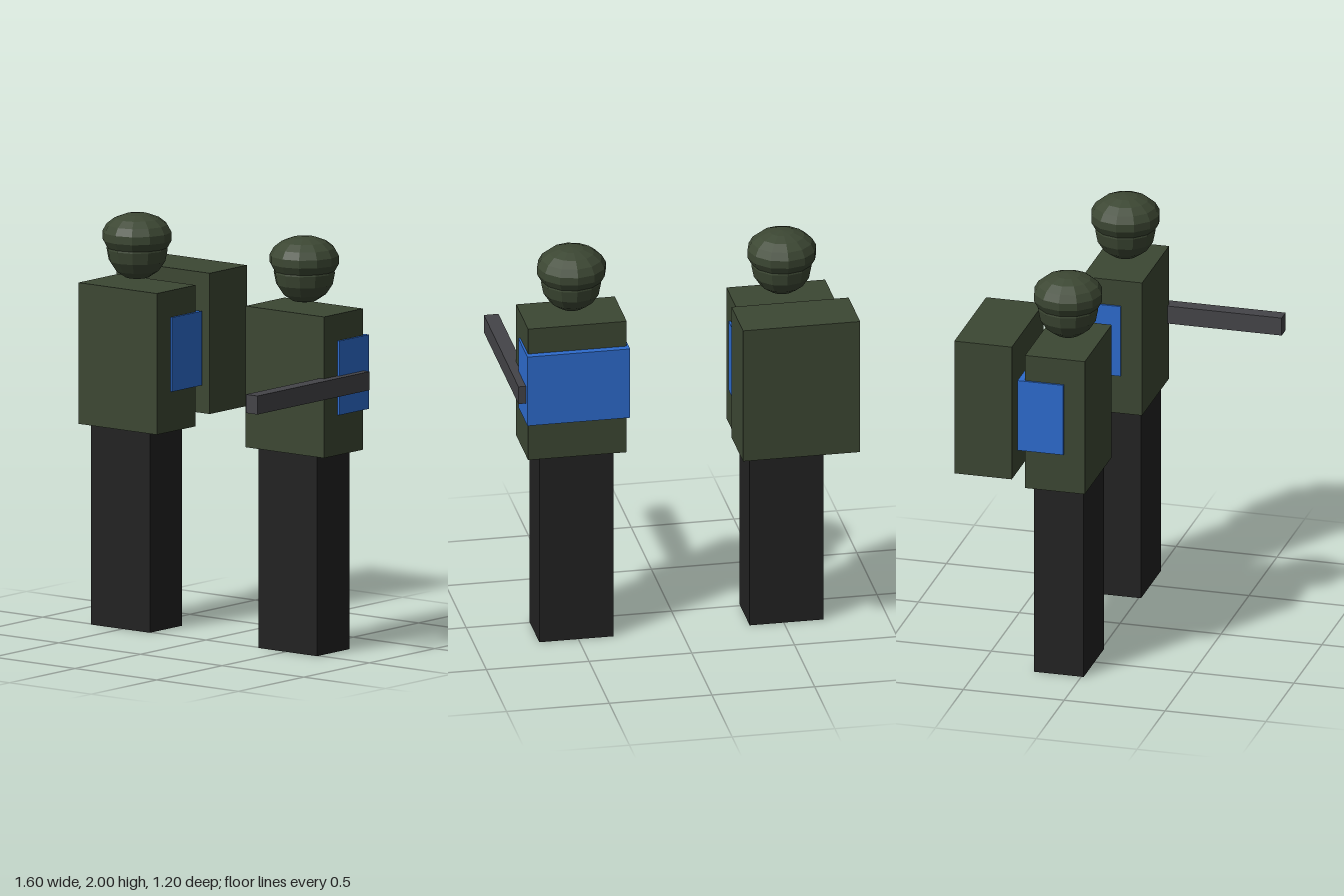
import * as THREE from 'three';

const mat = (name, color) => {
  const m = new THREE.MeshStandardMaterial({ color, flatShading: true });
  m.name = name;
  return m;
};

export function createModel() {
  const green = mat('olive green', 0x3c4733);
  const black = mat('trouser black', 0x222222);
  const blue = mat('vest blue', 0x2d6bcd);
  const grey = mat('gun grey', 0x444448);
  // the helmet is an open shell
  const helmetGreen = mat('helmet green', 0x3c4733);
  helmetGreen.side = THREE.DoubleSide;

  const model = new THREE.Group();
  model.name = 'twoSoldiers';

  // box given by its limits on each axis
  const box = (parent, name, material, [x0, x1], [y0, y1], [z0, z1]) => {
    const mesh = new THREE.Mesh(new THREE.BoxGeometry(x1 - x0, y1 - y0, z1 - z0), material);
    mesh.position.set((x0 + x1) / 2, (y0 + y1) / 2, (z0 + z1) / 2);
    mesh.name = name;
    parent.add(mesh);
  };

  const soldier = (name, x) => {
    const g = new THREE.Group();
    g.name = name;
    g.position.x = x;
    box(g, 'legs', black, [-0.18, 0.18], [0, 0.97], [-0.235, 0.012]);
    box(g, 'torso', green, [-0.24, 0.24], [0.97, 1.655], [-0.262, 0.034]);
    box(g, 'backBand', blue, [-0.25, 0.25], [1.165, 1.525], [-0.297, -0.07]);

    // round head under a flattened helmet
    const head = new THREE.Mesh(new THREE.SphereGeometry(0.148, 12, 8), green);
    head.name = 'head';
    head.position.set(0, 1.826, -0.115);
    const helmet = new THREE.Mesh(
      new THREE.SphereGeometry(0.17, 12, 6, 0, Math.PI * 2, 0, Math.PI * 2 / 3), helmetGreen);
    helmet.name = 'helmet';
    helmet.scale.y = 0.65;
    helmet.position.set(0, 1.89, -0.115);
    g.add(head, helmet);
    model.add(g);
    return g;
  };

  const carrier = soldier('packSoldier', -0.514);
  box(carrier, 'backpack', green, [-0.286, 0.284], [1.027, 1.71], [-0.6, -0.315]);

  const gunner = soldier('rifleSoldier', 0.51);
  box(gunner, 'rifle', grey, [0.215, 0.286], [1.265, 1.355], [-0.257, 0.6]);

  return model;
}
